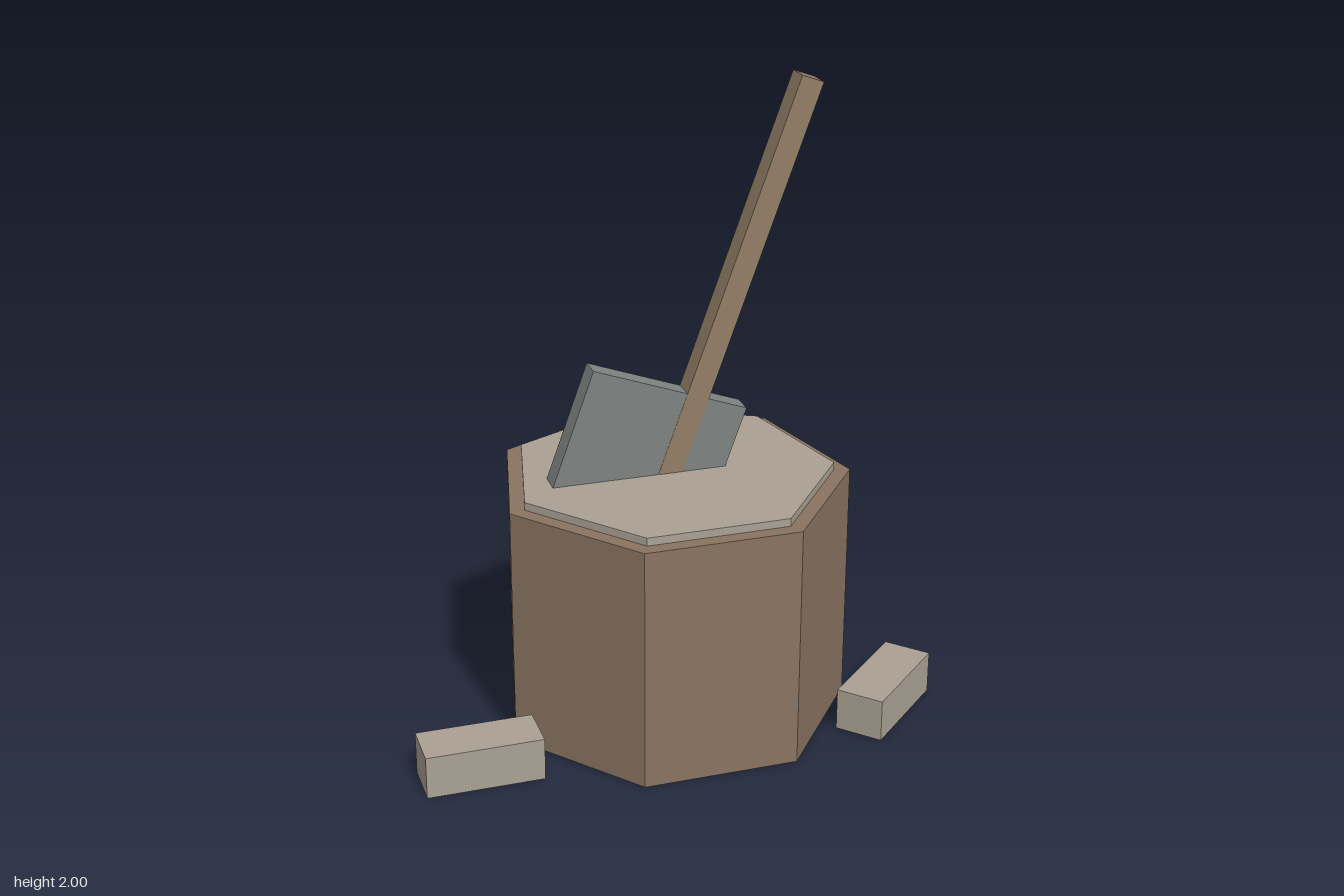
import * as THREE from 'three';

const material = (color) => new THREE.MeshStandardMaterial({ color, flatShading: true });

export function createModel() {
  const model = new THREE.Group();
  const bark = material(0x8a7462);
  const cutWood = material(0xaaa193);
  const handleWood = material(0x937e66);
  const steel = material(0x7e8481);

  function add(name, geometry, mat, x, y, z, parent = model) {
    const mesh = new THREE.Mesh(geometry, mat);
    mesh.name = name;
    mesh.position.set(x, y, z);
    parent.add(mesh);
    return mesh;
  }

  // Seven-sided chopping block with a corner towards the back
  const heptagon = (radius, height) =>
    new THREE.CylinderGeometry(radius, radius, height, 7).rotateY(Math.PI);
  add('stump', heptagon(0.555, 0.77), bark, 0.035, 0.385, 0.025);
  add('stumpTop', heptagon(0.505, 0.025), cutWood, 0.035, 0.7825, 0.025);

  // Axe, leaning to the side with its head sunk into the block
  const axe = new THREE.Group();
  axe.name = 'axe';
  axe.position.set(0.0225, 1.0675, 0.026);
  axe.rotation.z = -0.348;
  model.add(axe);
  add('axeHead', new THREE.BoxGeometry(0.515, 0.42, 0.074), steel, 0, -0.21, 0, axe);
  add('axeHandle', new THREE.BoxGeometry(0.072, 1.35, 0.076), handleWood, 0.091, 0.336, 0, axe);

  // Split logs lying beside the block
  const log = new THREE.BoxGeometry(0.36, 0.135, 0.152);
  add('rightLog', log, cutWood, -0.655, 0.0675, 0.313);
  add('leftLog', log, cutWood, 0.648, 0.0675, 0.312).rotation.y = 0.74;

  return model;
}
